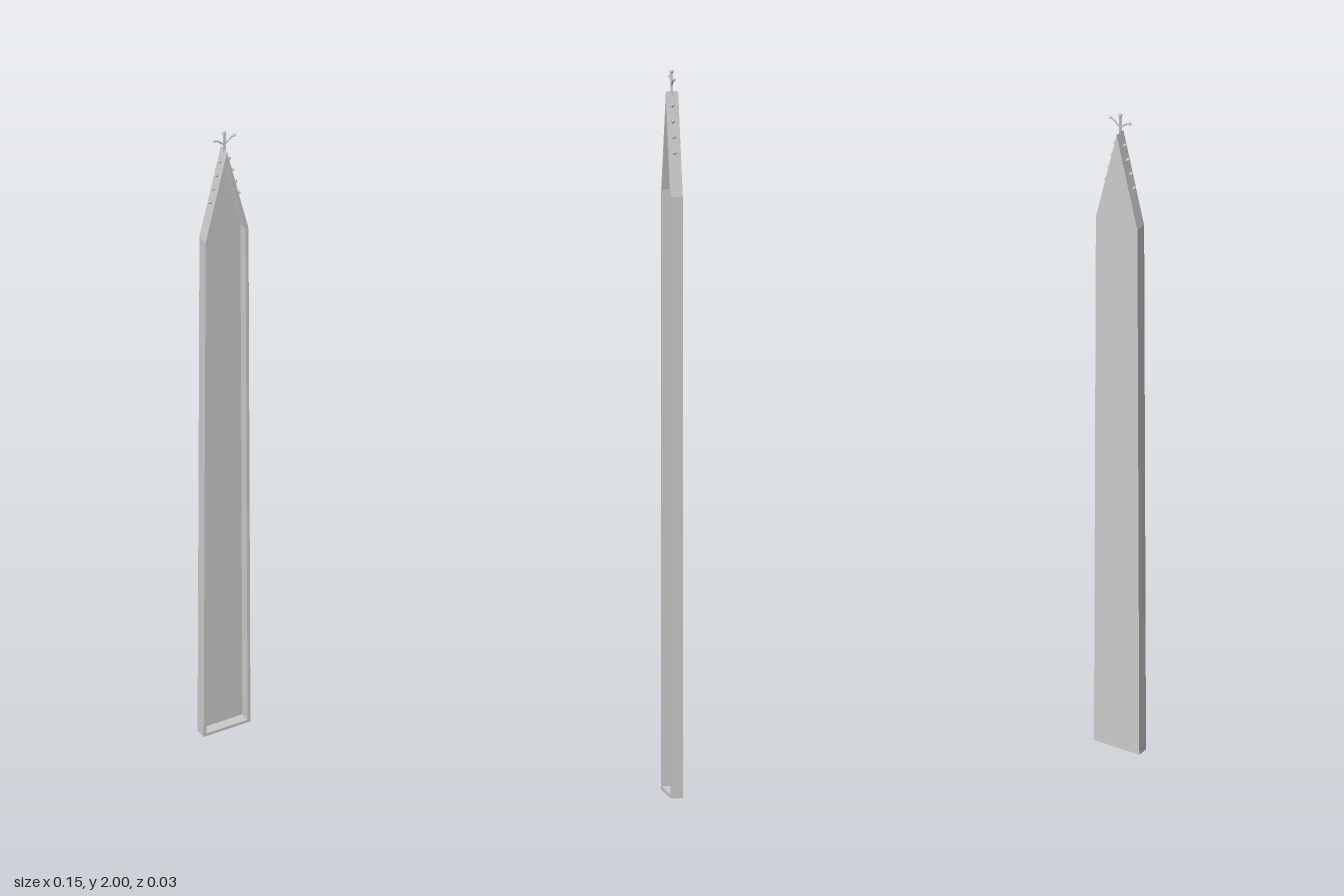
import * as THREE from 'three';

const material = new THREE.MeshStandardMaterial({ color: 0xcccccc, flatShading: true });
const smooth = new THREE.MeshStandardMaterial({ color: 0xcccccc });

const BASE = 0.073, SHOULDER = 0.067, SHOULDER_Y = 1.66, APEX_Y = 1.94;
const BACK = -0.018, FRONT = 0.016, PANEL = 0.005;

function add(parent, name, geometry, mat = material) {
  const mesh = new THREE.Mesh(geometry, mat);
  mesh.name = name;
  parent.add(mesh);
  return mesh;
}

// Tapering lancet outline; inset shrinks it evenly on all sides
function lancet(Type, inset) {
  const roof = Math.hypot(SHOULDER, APEX_Y - SHOULDER_Y);
  const apex = APEX_Y - (inset * roof) / SHOULDER;
  const shoulder = SHOULDER - inset;
  const shoulderY = apex - (shoulder * (APEX_Y - SHOULDER_Y)) / SHOULDER;
  return new Type([
    [-BASE + inset, inset], [BASE - inset, inset], [shoulder, shoulderY],
    [0, apex], [-shoulder, shoulderY],
  ].map(([x, y]) => new THREE.Vector2(x, y)));
}

function slab(shape, z, depth) {
  return new THREE.ExtrudeGeometry(shape, { depth, bevelEnabled: false }).translate(0, 0, z);
}

// Short curved stalk with a bud at its tip
function sprig(name, points, radius, bud) {
  const group = new THREE.Group();
  group.name = name;
  const curve = new THREE.CatmullRomCurve3(points.map(([x, y]) => new THREE.Vector3(x, y, 0)));
  add(group, name + 'Stalk', new THREE.TubeGeometry(curve, 8, radius, 6), smooth);
  add(group, name + 'Bud', new THREE.SphereGeometry(bud, 10, 8), smooth).position.copy(curve.getPoint(1));
  return group;
}

export function createModel() {
  const model = new THREE.Group();
  model.name = 'lancetPanel';

  // Raised frame around a deep recess
  const outline = lancet(THREE.Shape, 0);
  outline.holes.push(lancet(THREE.Path, 0.009));
  add(model, 'frame', slab(outline, BACK + PANEL, FRONT - BACK - PANEL));

  // Closed back
  add(model, 'backPanel', slab(lancet(THREE.Shape, 0), BACK, PANEL));

  // Crockets climbing both slopes of the gable
  for (const side of [-1, 1]) {
    for (let i = 0; i < 4; i++) {
      const y = 1.775 + i * 0.042;
      const x = (SHOULDER * (APEX_Y - y)) / (APEX_Y - SHOULDER_Y);
      const crocket = sprig('crocket', [
        [side * (x - 0.004), y - 0.002], [side * (x + 0.002), y - 0.001], [side * (x + 0.006), y + 0.003],
      ], 0.003, 0.005);
      model.add(crocket);
    }
  }

  // Finial: stem, top bud and two upswept arms
  const finial = new THREE.Group();
  finial.name = 'finial';
  finial.add(sprig('finialStem', [[0, 1.92], [0, 1.96], [0, 1.994]], 0.003, 0.006));
  for (const side of [-1, 1]) {
    finial.add(sprig('finialArm', [
      [0, 1.956], [side * 0.012, 1.966], [side * 0.023, 1.975], [side * 0.031, 1.977],
    ], 0.0025, 0.0045));
  }
  model.add(finial);

  return model;
}
